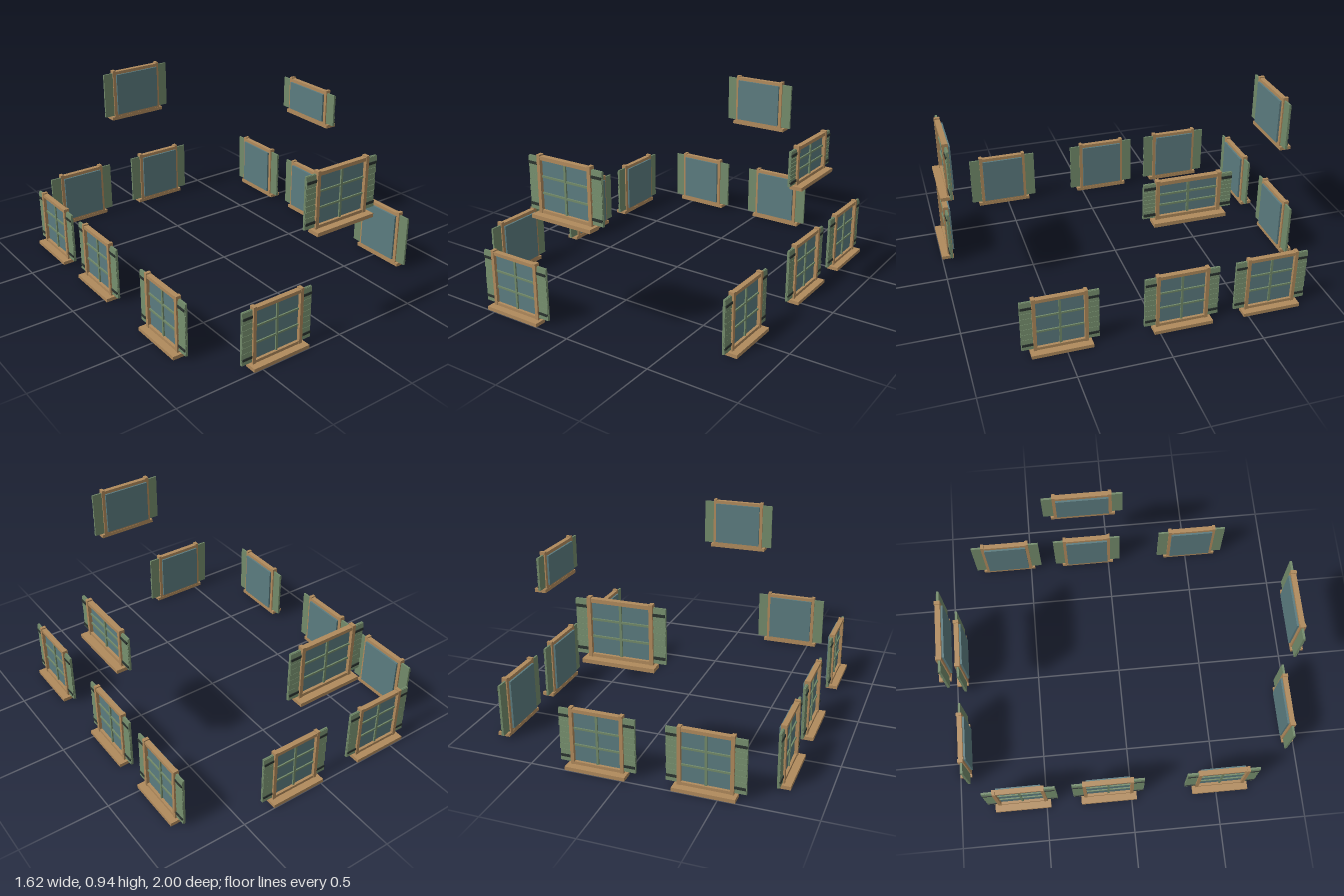
import * as THREE from 'three';

const mat = (name, color) => {
  const m = new THREE.MeshStandardMaterial({ color });
  m.name = name;
  return m;
};

export function createModel() {
  const wood = mat('wood', 0xb08a5c);
  const green = mat('shutterGreen', 0x728a6a);
  const glass = mat('glass', 0x5b7b7f);
  const iron = mat('darkIron', 0x2a332f);

  // Box given by its extents on each axis
  const box = (parent, name, m, x0, x1, y0, y1, z0, z1) => {
    const mesh = new THREE.Mesh(new THREE.BoxGeometry(x1 - x0, y1 - y0, z1 - z0), m);
    mesh.position.set((x0 + x1) / 2, (y0 + y1) / 2, (z0 + z1) / 2);
    mesh.name = name;
    parent.add(mesh);
    return mesh;
  };

  // Louvred shutter: backing board, tilted slats and two iron straps
  function shutter(side, inner, y0, y1) {
    const g = new THREE.Group();
    g.name = side > 0 ? 'leftShutter' : 'rightShutter';
    const outer = inner + 0.061;
    const span = (a, b) => (side > 0 ? [a, b] : [-b, -a]);
    box(g, 'shutterBoard', green, ...span(inner, outer), y0, y1, -0.06, -0.051);
    const count = 9;
    const pitch = (y1 - y0) / count;
    for (let i = 0; i < count; i++) {
      const y = y0 + pitch * i;
      const end = outer - (i % 2) * 0.002;
      const slat = box(g, 'slat', green, ...span(inner, end), y + 0.002, y + pitch - 0.002, -0.053, -0.046);
      slat.rotation.x = -0.1;
    }
    for (const t of [0.11, 0.88]) {
      const y = y0 + (y1 - y0) * t;
      box(g, 'shutterStrap', iron, ...span(inner, outer - 0.003), y - 0.007, y + 0.007, -0.05, -0.041);
    }
    return g;
  }

  // Window facing +z, outer sill edge at z = 0, sill underside at y = 0
  function makeWindow(sillHalf, h) {
    const g = new THREE.Group();
    const f = sillHalf - 0.018; // frame half width
    const w = 0.019;            // frame bar width
    const inner = f - w;
    const bottom = 0.036, top = h - 0.026;

    box(g, 'sill', wood, -sillHalf, sillHalf, 0, 0.02, -0.068, 0);
    for (const s of [-1, 1]) {
      const c = s * (f - w / 2);
      box(g, 'framePost', wood, c - w / 2, c + w / 2, 0.02, h, -0.067, -0.036);
      g.add(shutter(s, f, 0.027, h - 0.016));
    }
    box(g, 'frameTop', wood, -inner, inner, top, h - 0.007, -0.067, -0.039);
    box(g, 'frameBottom', wood, -inner, inner, 0.02, bottom, -0.067, -0.039);

    // Pane and glazing bars
    box(g, 'pane', glass, -inner, inner, bottom, top, -0.078, -0.054);
    box(g, 'verticalBar', green, -0.006, 0.006, bottom, top, -0.056, -0.046);
    for (const t of [1 / 3, 2 / 3]) {
      const y = bottom + (top - bottom) * t;
      box(g, 'horizontalBar', green, -inner, inner, y - 0.005, y + 0.005, -0.056, -0.047);
    }
    return g;
  }

  const F = 0, B = Math.PI, R = Math.PI / 2, L = -Math.PI / 2;
  // name, x, base height, z, facing, sill half width, height
  const layout = [
    ['frontLowerWindow', -0.377, 0, 1, F, 0.173, 0.34],
    ['frontUpperWindow', -0.002, 0.62, 1, F, 0.182, 0.32],
    ['backLowerWindowRight', -0.425, 0, -1, B, 0.163, 0.34],
    ['backLowerWindowLeft', 0.147, 0, -1, B, 0.163, 0.34],
    ['backUpperWindow', -0.002, 0.62, -1, B, 0.182, 0.32],
    ['sideUpperWindow', 0.8, 0.662, -0.14, R, 0.186, 0.233],
  ];
  for (const z of [0.523, -0.132, -0.637]) {
    layout.push(['leftSideWindow', 0.81, 0, z, R, 0.163, 0.34]);
    layout.push(['rightSideWindow', -0.81, 0, z, L, 0.163, 0.34]);
  }

  const model = new THREE.Group();
  model.name = 'shutteredWindows';
  for (const [name, x, y, z, turn, half, h] of layout) {
    const win = makeWindow(half, h);
    win.name = name;
    win.position.set(x, y, z);
    win.rotation.y = turn;
    model.add(win);
  }
  return model;
}
